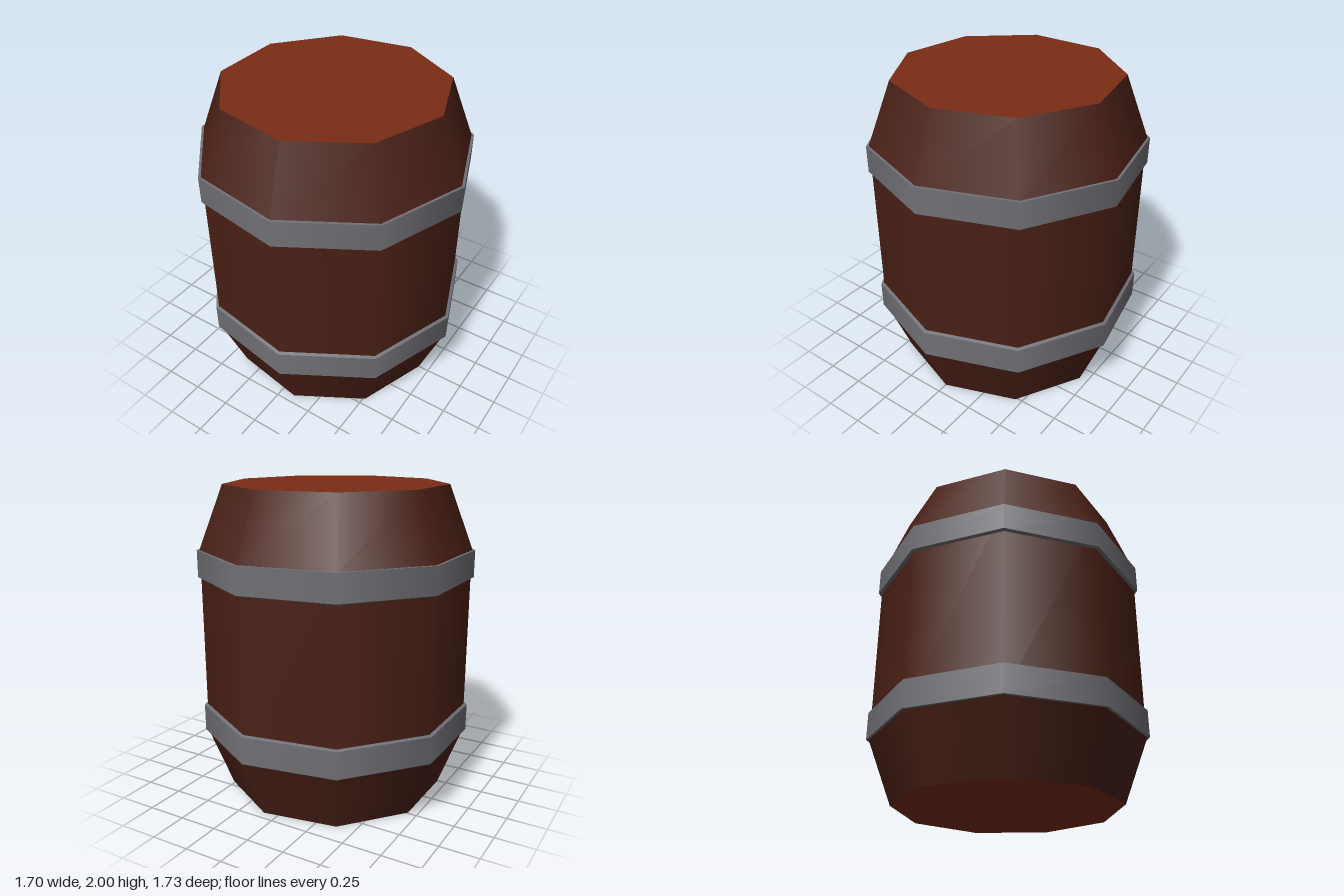
import * as THREE from 'three';

const SIDES = 9;
const wood = new THREE.MeshStandardMaterial({ color: 0x4a2016 });
const lidWood = new THREE.MeshStandardMaterial({ color: 0x7a2c16 });
const iron = new THREE.MeshStandardMaterial({ color: 0x707076 });

// Open nine-sided ring from (r0, y0) up to (r1, y1), one corner on +x
function section(name, r0, y0, r1, y1, material) {
  const g = new THREE.CylinderGeometry(r1, r0, y1 - y0, SIDES, 1, true, Math.PI / 2);
  g.translate(0, (y0 + y1) / 2, 0);
  const mesh = new THREE.Mesh(g, material);
  mesh.name = name;
  return mesh;
}

// Flat end of the barrel, facing up or down
function lid(name, r, y, up) {
  const g = new THREE.CircleGeometry(r, SIDES);
  g.rotateX(up ? -Math.PI / 2 : Math.PI / 2);
  const mesh = new THREE.Mesh(g, lidWood);
  mesh.name = name;
  mesh.position.y = y;
  return mesh;
}

// Iron hoop: outer wall with narrow lips closing onto the staves
function hoop(name, y0, y1, lowLip, highLip) {
  const group = new THREE.Group();
  group.name = name;
  group.add(
    section('hoopWall', 0.876, y0, 0.876, y1, iron),
    section('hoopLowerLip', 0.853, y0 - lowLip, 0.876, y0, iron),
    section('hoopUpperLip', 0.876, y1, 0.853, y1 + highLip, iron)
  );
  return group;
}

export function createModel() {
  const barrel = new THREE.Group();
  barrel.name = 'barrel';

  // Staves
  const rEnd = 0.705, rMid = 0.856;
  barrel.add(
    section('lowerStaves', rEnd, 0, rMid + 0.004, 0.4, wood),
    section('middleStaves', rMid, 0.4, rMid, 1.6, wood),
    section('upperStaves', rMid + 0.004, 1.6, rEnd, 2, wood)
  );

  // Ends
  barrel.add(lid('topLid', rEnd, 2, true), lid('bottomLid', rEnd, 0, false));

  // Hoops
  barrel.add(hoop('lowerHoop', 0.4, 0.575, 0.001, 0.009));
  barrel.add(hoop('upperHoop', 1.43, 1.6, 0.009, 0.001));

  // Centre the odd-sided outline on x
  barrel.position.x = -0.027;
  const model = new THREE.Group();
  model.name = 'barrelModel';
  model.add(barrel);
  return model;
}
